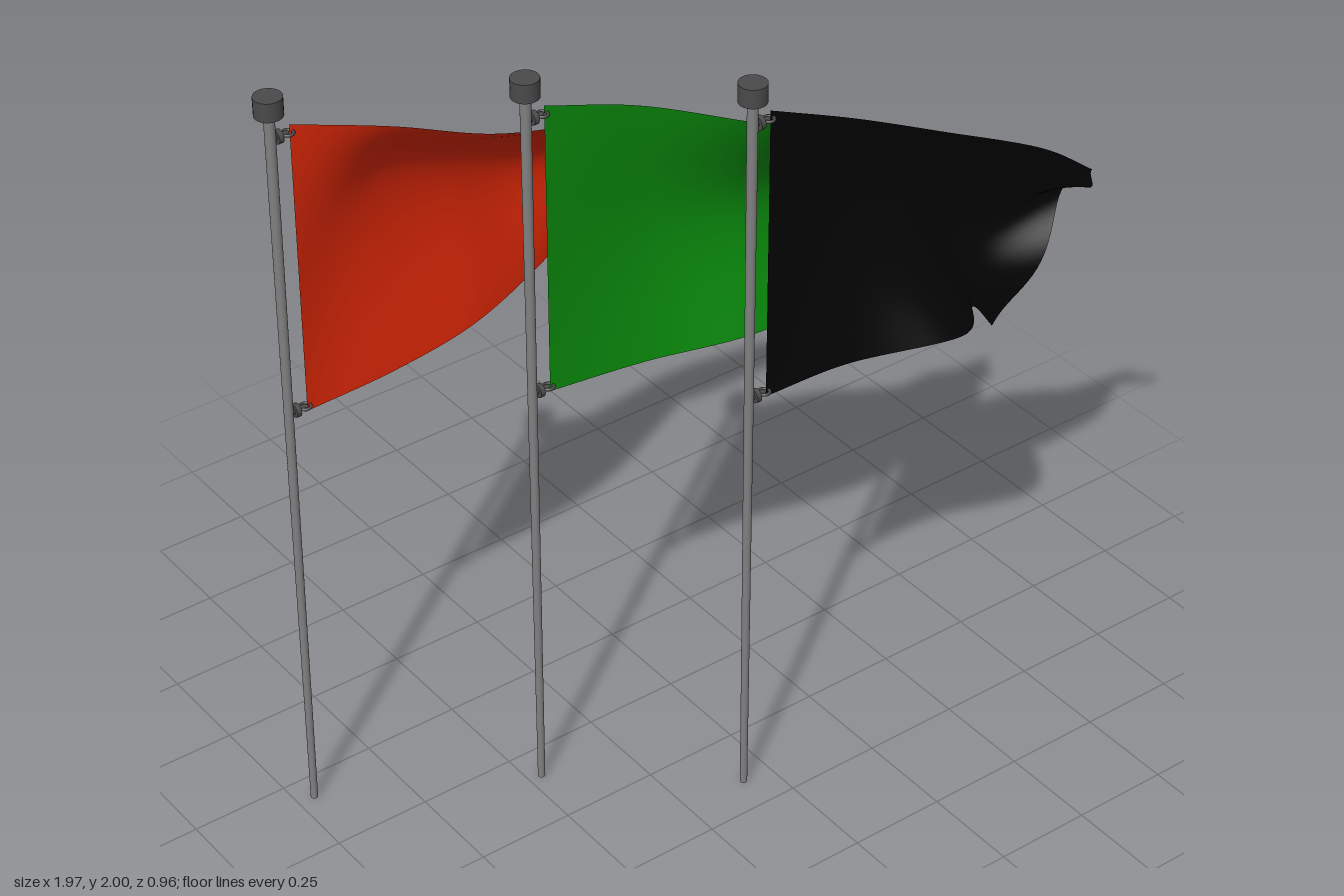
import * as THREE from 'three';

const mat = (color, side = THREE.FrontSide) => new THREE.MeshStandardMaterial({ color, side });
const poleMat = mat(0x808080);
const capMat = mat(0x4a4a4a);

function add(parent, name, geometry, material, x = 0, y = 0, z = 0) {
  const mesh = new THREE.Mesh(geometry, material);
  mesh.name = name;
  mesh.position.set(x, y, z);
  parent.add(mesh);
  return mesh;
}

// Line along the cloth, from the hoist to the fly
const rail = (hoist, points) => new THREE.CatmullRomCurve3([hoist, ...points].map(p => new THREE.Vector3(...p)));

// Cloth drawn smoothly through its top, middle and bottom rails, with pleats at the free end
function clothGeometry(flag, nu = 60, nv = 40) {
  const x = flag.x + 0.05;
  const rails = [
    rail([x, 1.91, flag.z], flag.top),
    rail([x, 1.525, flag.z], flag.middle),
    rail([x, 1.14, flag.z], flag.bottom),
  ];
  const geometry = new THREE.PlaneGeometry(1, 1, nu, nv);
  const pos = geometry.attributes.position;
  for (let i = 0; i <= nu; i++) {
    const u = i / nu;
    const column = new THREE.CatmullRomCurve3(rails.map(r => r.getPoint(u)));
    for (let j = 0; j <= nv; j++) {
      const p = column.getPoint(j / nv);
      const pleat = Math.sin(2 * Math.PI * j / nv) ** 2 * u ** 6;
      pos.setXYZ(j * (nu + 1) + i, p.x - flag.notch * pleat, p.y, p.z + flag.pleat * pleat);
    }
  }
  geometry.computeVertexNormals();
  return geometry;
}

const redFlag = {
  name: 'redFlag', color: 0xe02806, x: -0.955, z: -0.18, notch: 0.01, pleat: 0.02,
  top: [[-0.65, 1.82, -0.16], [-0.4, 1.72, -0.135], [-0.12, 1.63, -0.165], [0.165, 1.54, -0.21]],
  middle: [[-0.65, 1.64, -0.255], [-0.4, 1.55, -0.33], [-0.12, 1.41, -0.41], [0.18, 1.36, -0.4]],
  bottom: [[-0.65, 1.135, -0.2], [-0.4, 1.13, -0.25], [-0.12, 1.125, -0.37], [0.11, 1.14, -0.48]],
};
const greenFlag = {
  name: 'greenFlag', color: 0x0a8a0c, x: -0.465, z: 0.09, notch: 0.04, pleat: 0.07,
  top: [[-0.17, 1.83, 0.11], [0.13, 1.7, 0.165], [0.43, 1.54, 0.12], [0.64, 1.38, 0.05]],
  middle: [[-0.17, 1.53, 0.085], [0.13, 1.45, 0.08], [0.48, 1.34, 0.005], [0.65, 1.27, 0.045]],
  bottom: [[-0.17, 1.135, 0.12], [0.13, 1.13, 0.18], [0.45, 1.125, 0.145], [0.63, 1.04, 0.05]],
};
const blackFlag = {
  name: 'blackFlag', color: 0x040404, x: -0.08, z: 0.405, notch: 0.015, pleat: 0.06,
  top: [[0.2, 1.81, 0.415], [0.45, 1.69, 0.43], [0.75, 1.54, 0.445], [0.97, 1.37, 0.39]],
  middle: [[0.2, 1.6, 0.335], [0.45, 1.46, 0.265], [0.76, 1.2, 0.21], [0.985, 1.26, 0.28]],
  bottom: [[0.2, 1.135, 0.41], [0.5, 1.13, 0.48], [0.72, 1.01, 0.27], [0.82, 0.89, 0.23]],
};

function buildFlag(flag) {
  const { x, z } = flag;
  const group = new THREE.Group();
  group.name = flag.name;

  // Tapered pole and cap
  add(group, 'pole', new THREE.CylinderGeometry(0.013, 0.009, 1.96, 20), poleMat, x, 0.98, z);
  add(group, 'poleCap', new THREE.CylinderGeometry(0.034, 0.034, 0.048, 24), capMat, x, 1.976, z);

  // Clips that tie the cloth to the pole
  for (const y of [1.89, 1.155]) {
    const disc = add(group, 'clipDisc', new THREE.CylinderGeometry(0.017, 0.017, 0.012, 16), capMat, x + 0.02, y, z);
    const pin = add(group, 'clipPin', new THREE.CylinderGeometry(0.007, 0.007, 0.04, 10), capMat, x + 0.025, y, z);
    disc.rotation.z = pin.rotation.z = Math.PI / 2;
    const ring = add(group, 'clipRing', new THREE.TorusGeometry(0.013, 0.004, 8, 16), capMat, x + 0.045, y, z);
    ring.rotation.x = Math.PI / 2;
  }

  add(group, 'cloth', clothGeometry(flag), mat(flag.color, THREE.DoubleSide));
  return group;
}

export function createModel() {
  const model = new THREE.Group();
  model.name = 'flags';
  for (const flag of [redFlag, greenFlag, blackFlag]) model.add(buildFlag(flag));
  return model;
}
